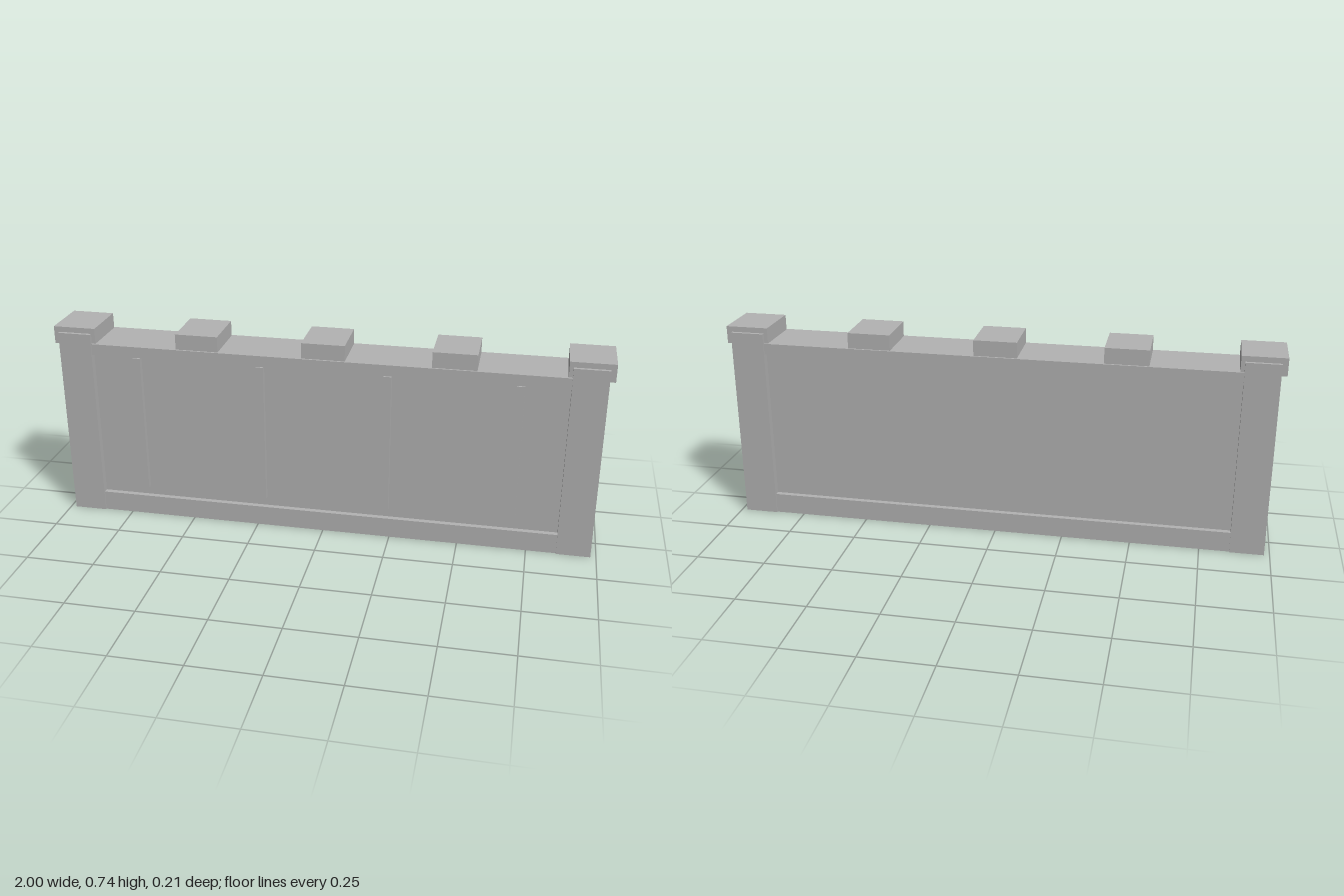
import * as THREE from 'three';

export function createModel() {
  const group = new THREE.Group();
  const stone = new THREE.MeshStandardMaterial({ color: 0xb3b3b3 });
  stone.name = 'grey stone';

  // Box given by its lower and upper limits on each axis
  function block(name, [x0, x1], [y0, y1], [z0, z1]) {
    const mesh = new THREE.Mesh(new THREE.BoxGeometry(x1 - x0, y1 - y0, z1 - z0), stone);
    mesh.position.set((x0 + x1) / 2, (y0 + y1) / 2, (z0 + z1) / 2);
    mesh.name = name;
    group.add(mesh);
  }

  // Wall: plinth, recessed panel and coping
  block('plinth', [-0.87, 0.87], [0, 0.075], [-0.099, 0.099]);
  block('panel', [-0.87, 0.87], [0.07, 0.645], [-0.08, 0.08]);
  block('coping', [-0.87, 0.87], [0.637, 0.678], [-0.099, 0.099]);

  // End posts
  for (const side of [-1, 1]) {
    const x = side * 0.919;
    block(side > 0 ? 'leftPost' : 'rightPost', [x - 0.061, x + 0.061], [0, 0.715], [-0.104, 0.104]);
  }

  // Five merlons, the outer two capping the posts
  for (let i = -2; i <= 2; i++) {
    const x = i * 0.461;
    block('merlon', [x - 0.078, x + 0.078], [0.671, 0.735], [-0.092, 0.092]);
  }

  // Upright battens on the front face only
  for (let i = 0; i < 4; i++) {
    const x = (i - 1.5) * 0.46;
    block('batten', [x - 0.014, x + 0.014], [0.11, 0.634], [0.07, 0.098]);
  }

  return group;
}
